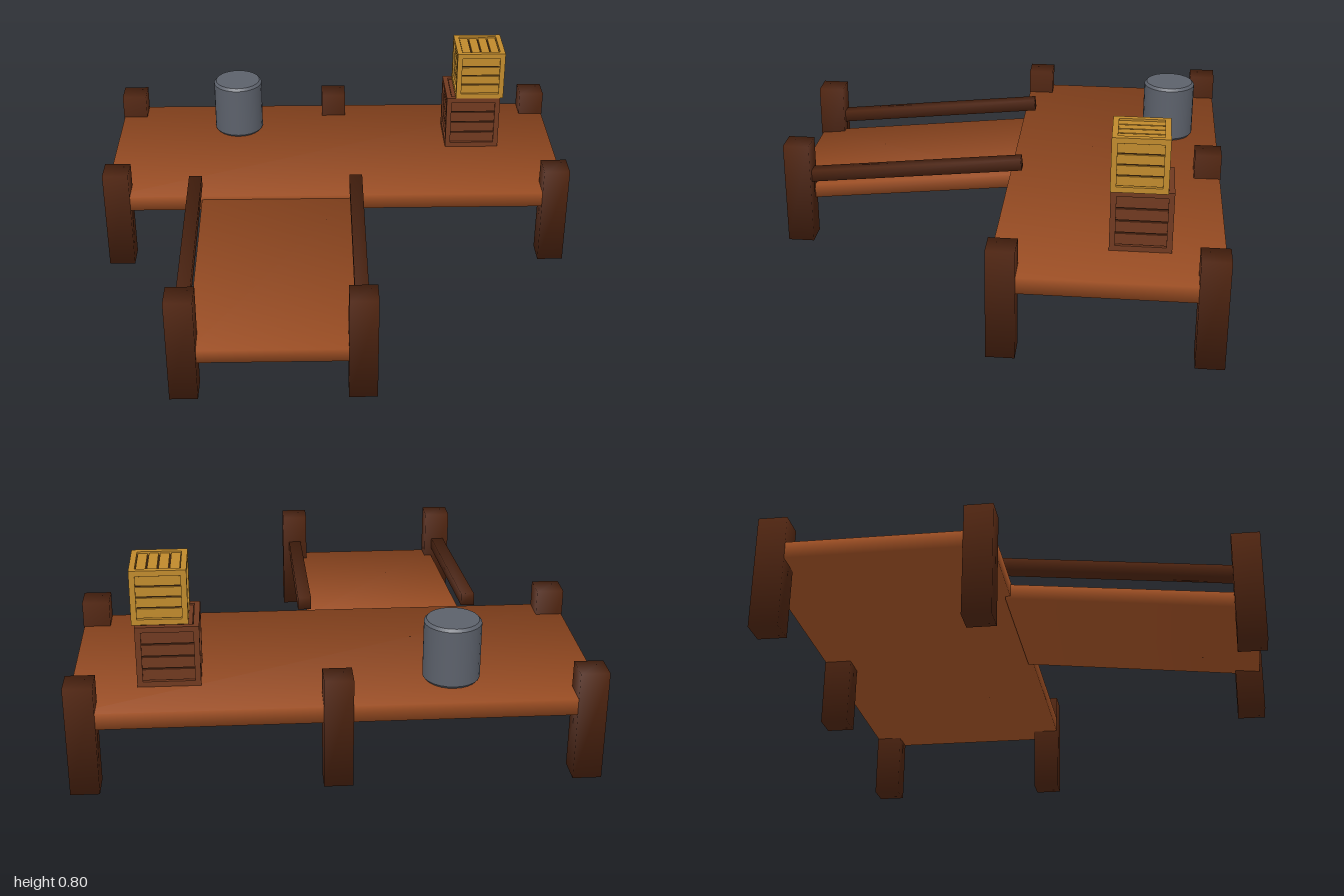
import * as THREE from 'three';

const mat = (name, color) => {
  const m = new THREE.MeshStandardMaterial({ color });
  m.name = name;
  return m;
};

export function createModel() {
  const dock = new THREE.Group();
  dock.name = 'dock';

  const deckWood = mat('deck wood', 0xa05024);
  const postWood = mat('dark post wood', 0x4e2410);
  const barrelGrey = mat('barrel grey', 0x5c616b);
  const crateBrown = mat('crate brown', 0x70391f);
  const crateYellow = mat('crate yellow', 0xc08a2c);
  const gapBrown = mat('crate gap brown', 0x3a2010);

  function box(parent, name, material, size, pos, soft = false) {
    const geo = new THREE.BoxGeometry(...size);
    if (soft) {
      // soft shading: each corner normal points straight out of the corner
      const p = geo.attributes.position, n = geo.attributes.normal, k = 1 / Math.sqrt(3);
      for (let i = 0; i < p.count; i++) {
        n.setXYZ(i, Math.sign(p.getX(i)) * k, Math.sign(p.getY(i)) * k, Math.sign(p.getZ(i)) * k);
      }
    }
    const mesh = new THREE.Mesh(geo, material);
    mesh.name = name;
    mesh.position.set(...pos);
    parent.add(mesh);
    return mesh;
  }

  // Platform
  box(dock, 'platform', deckWood, [1.994, 0.065, 0.876], [0, 0.303, -0.48], true);

  // Posts: platform corners, back middle, and foot of the ramp
  const posts = [
    [-0.945, -0.865], [0, -0.865], [0.945, -0.865],
    [-0.945, -0.095], [0.945, -0.095],
    [-0.603, 0.863], [0.083, 0.863],
  ];
  for (const [x, z] of posts) {
    box(dock, 'post', postWood, [0.11, 0.44, 0.11], [x, 0.22, z], true);
  }

  // Sloping ramp and its two side rails
  const slope = 0.104;
  box(dock, 'ramp', deckWood, [0.64, 0.06, 0.972], [-0.26, 0.241, 0.425], true).rotation.x = slope;
  for (const x of [-0.607, 0.083]) {
    box(dock, 'rampRail', postWood, [0.055, 0.05, 0.955], [x, 0.337, 0.385], true).rotation.x = slope;
  }

  // Barrel with a softened rim
  const profile = [[0, 0], [0.1, 0], [0.11, 0.012], [0.11, 0.235], [0.1, 0.246], [0, 0.246]];
  const parts = [];
  for (let i = 0; i < profile.length - 1; i++) {
    parts.push(profile.slice(i, i + 2).map(([r, y]) => new THREE.Vector2(r, y)));
  }
  const barrel = new THREE.Group();
  barrel.name = 'barrel';
  barrel.position.set(-0.445, 0.334, -0.7);
  for (const pts of parts) {
    const mesh = new THREE.Mesh(new THREE.LatheGeometry(pts, 24), barrelGrey);
    mesh.name = 'barrelBand';
    barrel.add(mesh);
  }
  dock.add(barrel);

  // Crate: dark core, edge frame and four slats on each face
  function crate(name, material, [w, h, d], [x, y, z]) {
    const g = new THREE.Group();
    g.name = name;
    g.position.set(x, y + h / 2, z);
    const t = 0.022, inset = 0.007, slatDepth = 0.008, gap = 0.006;
    const c = 2 * (inset + slatDepth);
    box(g, 'core', gapBrown, [w - c, h - c, d - c], [0, 0, 0]);
    for (const a of [-1, 1]) {
      for (const b of [-1, 1]) {
        box(g, 'uprightBar', material, [t, h, t], [a * (w - t) / 2, 0, b * (d - t) / 2]);
        box(g, 'crossBar', material, [w - 2 * t, t, t], [0, a * (h - t) / 2, b * (d - t) / 2]);
        box(g, 'sideBar', material, [t, t, d - 2 * t], [a * (w - t) / 2, b * (h - t) / 2, 0]);
      }
      const off = inset + slatDepth / 2;
      const stepY = (h - 2 * t) / 4, stepX = (w - 2 * t) / 4;
      for (let i = 0; i < 4; i++) {
        const sy = (i - 1.5) * stepY, sx = (i - 1.5) * stepX;
        box(g, 'frontSlat', material, [w - 2 * t, stepY - gap, slatDepth], [0, sy, a * (d / 2 - off)]);
        box(g, 'sideSlat', material, [slatDepth, stepY - gap, d - 2 * t], [a * (w / 2 - off), sy, 0]);
        box(g, 'lidSlat', material, [stepX - gap, slatDepth, d - 2 * t], [sx, a * (h / 2 - off), 0]);
      }
    }
    dock.add(g);
  }
  crate('lowerCrate', crateBrown, [0.24, 0.246, 0.236], [0.626, 0.335, -0.596]);
  crate('upperCrate', crateYellow, [0.212, 0.217, 0.215], [0.652, 0.581, -0.583]);

  return dock;
}
